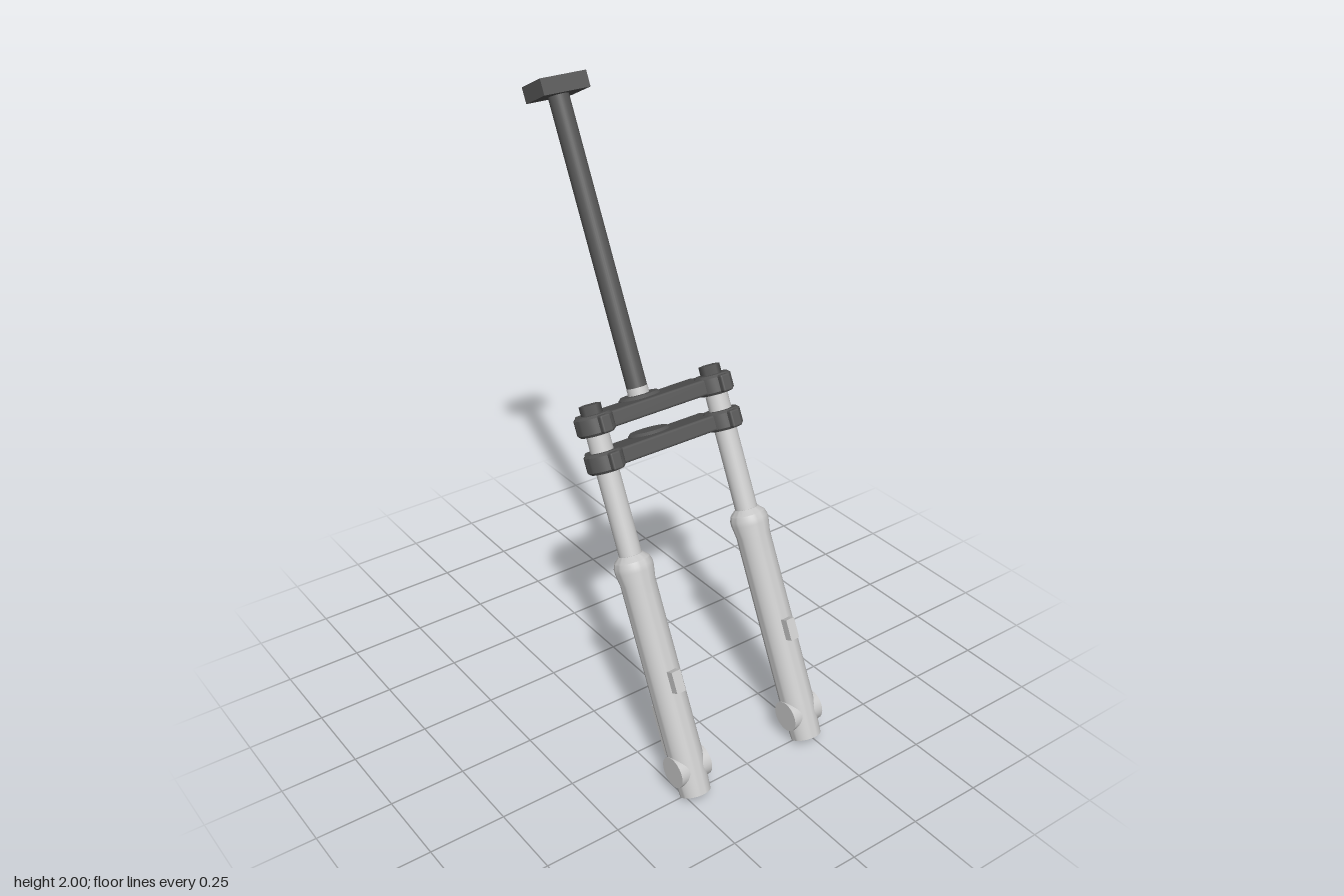
import * as THREE from 'three';
import { toCreasedNormals } from 'three/addons/utils/BufferGeometryUtils.js';
import { RoundedBoxGeometry } from 'three/addons/geometries/RoundedBoxGeometry.js';

const alloy = new THREE.MeshStandardMaterial({ color: 0xc8c8c8 });
alloy.name = 'light alloy';
const steel = new THREE.MeshStandardMaterial({ color: 0x555555 });
steel.name = 'dark steel';

const LEG_Z = 0.225;    // half distance between the legs
const STEM_X = -0.083;  // steering axis behind the legs

function add(parent, name, geometry, material, x = 0, y = 0, z = 0) {
  const mesh = new THREE.Mesh(geometry, material);
  mesh.name = name;
  mesh.position.set(x, y, z);
  parent.add(mesh);
  return mesh;
}

// Turned part from [radius, height] pairs, with crisp edges
function turned(profile, sides = 40) {
  const points = profile.map(([r, y]) => new THREE.Vector2(r, y));
  return toCreasedNormals(new THREE.LatheGeometry(points, sides), 0.5);
}

// Disc with chamfered rims, from height y0 to y1
function disc(r, y0, y1, c = 0.008) {
  return turned([[0, y0], [r - c, y0], [r, y0 + c], [r, y1 - c], [r - c, y1], [0, y1]]);
}

function rod(r, y0, y1, sides = 32) {
  const g = new THREE.CylinderGeometry(r, r, y1 - y0, sides);
  return g.translate(0, (y0 + y1) / 2, 0);
}

function makeLeg(side) {
  const leg = new THREE.Group();
  leg.name = side > 0 ? 'frontLeg' : 'backLeg';
  leg.position.z = side * LEG_Z;

  // Lower slider with a swollen seal collar
  add(leg, 'slider', turned([
    [0, 0], [0.049, 0], [0.055, 0.12], [0.055, 0.685], [0.061, 0.725],
    [0.061, 0.74], [0.056, 0.756], [0.038, 0.773], [0, 0.773],
  ]), alloy);
  add(leg, 'innerTube', rod(0.036, 0.76, 1.2), alloy);

  // Axle boss across the foot
  add(leg, 'axleBoss', new THREE.CylinderGeometry(0.05, 0.05, 0.114, 32), alloy, -0.003, 0.086)
    .rotation.x = Math.PI / 2;
  add(leg, 'guideTab', new THREE.BoxGeometry(0.08, 0.068, 0.032), alloy, 0.041, 0.371);
  if (side > 0) {
    add(leg, 'brakeLug', new THREE.BoxGeometry(0.1, 0.165, 0.03), alloy, -0.05, 0.193);
  }

  // Hexagonal cap, corners pointing fore and aft
  add(leg, 'topNut', rod(0.034, 1.2, 1.243, 6).rotateY(Math.PI / 6), steel);
  return leg;
}

// Plate joining both legs to the steering axis
function makeClamp(name, y) {
  const clamp = new THREE.Group();
  clamp.name = name;
  clamp.position.y = y;
  add(clamp, 'bridge', new RoundedBoxGeometry(0.15, 0.05, 0.45, 2, 0.008), steel, -0.045);
  add(clamp, 'stemBoss', disc(0.068, -0.03, 0.034), steel, STEM_X);
  for (const side of [-1, 1]) {
    add(clamp, 'legRing', disc(0.06, -0.031, 0.031), steel, 0, 0, side * LEG_Z);
    add(clamp, 'pinchBoss', new RoundedBoxGeometry(0.04, 0.054, 0.036, 2, 0.006), steel,
      0.056, 0, side * LEG_Z);
  }
  return clamp;
}

export function createModel() {
  const model = new THREE.Group();
  model.name = 'suspensionFork';

  // Everything is built upright, then raked about the leg feet
  const fork = new THREE.Group();
  fork.name = 'rakedFork';
  fork.position.set(0.523, 0.024, 0);
  fork.rotation.z = THREE.MathUtils.degToRad(26);
  model.add(fork);

  for (const side of [-1, 1]) fork.add(makeLeg(side));
  fork.add(makeClamp('upperClamp', 1.183));
  fork.add(makeClamp('lowerClamp', 1.068));

  // Steering column with its end block
  add(fork, 'stemCollar', rod(0.034, 1.2, 1.24), alloy, STEM_X);
  add(fork, 'steeringColumn', rod(0.033, 1.24, 2.165), steel, STEM_X);
  add(fork, 'endBlock', new THREE.BoxGeometry(0.118, 0.052, 0.165), steel, STEM_X, 2.185);
  return model;
}
